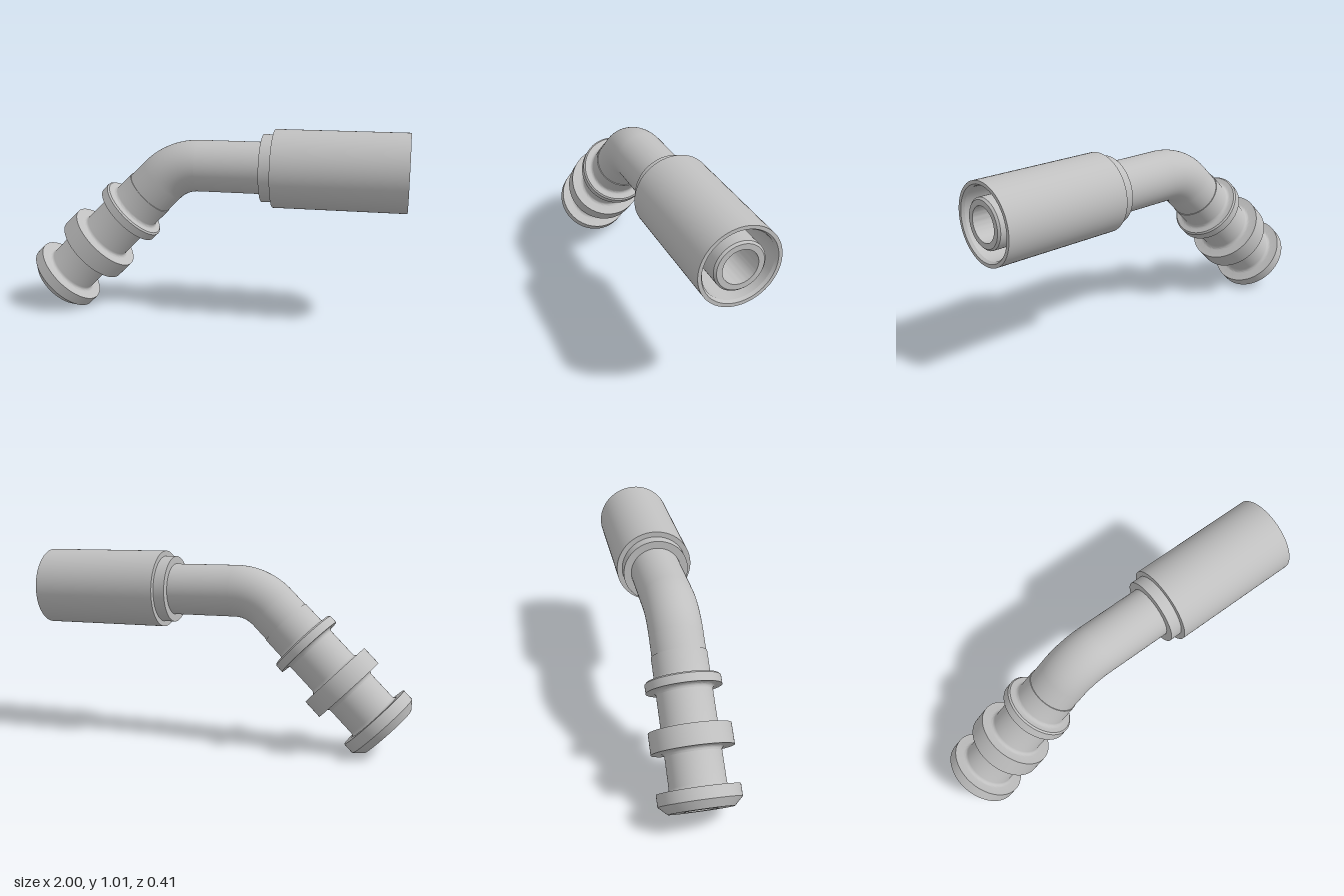
import * as THREE from 'three';
import { toCreasedNormals } from 'three/addons/utils/BufferGeometryUtils.js';

const SEG = 72;
const PIPE = 0.135, BORE = 0.087;        // outer and inner pipe radius
const AXIS_Y = 0.81, CORNER_X = -0.195;  // where the two pipe axes meet
const BEND_R = 0.278;
const TANGENT = BEND_R * Math.tan(Math.PI / 8);

export function createModel() {
  const group = new THREE.Group();
  const metal = new THREE.MeshStandardMaterial({ color: 0xc0c0c0, side: THREE.DoubleSide });
  metal.name = 'light grey metal';

  // Both legs run along local +y, starting at the axis corner
  const makeLeg = (name, angle) => {
    const leg = new THREE.Group();
    leg.name = name;
    leg.position.set(CORNER_X, AXIS_Y, 0);
    leg.rotation.z = angle;
    group.add(leg);
    return leg;
  };
  // Turned part from [radius, position] pairs, outer side listed with rising position
  const turn = (leg, name, pts) => {
    const geo = new THREE.LatheGeometry(pts.map(([r, y]) => new THREE.Vector2(r, y)), SEG);
    const mesh = new THREE.Mesh(toCreasedNormals(geo, 0.5), metal);
    mesh.name = name;
    leg.add(mesh);
  };
  // Concave quarter round between pipe radius r and a flange face at y (dir: away from the face)
  const fillet = (r, y, dir, f = 0.018) => {
    const pts = [];
    for (let i = 0; i <= 4; i++) {
      const a = (i / 4) * Math.PI / 2;
      pts.push([r + f * (1 - Math.sin(a)), y + dir * f * (1 - Math.cos(a))]);
    }
    return pts; // from the face to the pipe
  };

  // Hose end, along +x
  const hose = makeLeg('hoseEnd', -Math.PI / 2);
  const at = (x) => x - CORNER_X;
  turn(hose, 'straightPipe', [[PIPE, TANGENT], [PIPE, at(0.26)]]);
  turn(hose, 'collar', [[PIPE, at(0.26)], [0.175, at(0.26)], [0.175, at(0.32)]]);
  turn(hose, 'crimpSleeve', [
    [0.175, at(0.32)], [0.203, at(0.32)], [0.203, at(1)], [0.185, at(1)],
    [0.176, at(0.985)], [0.176, at(0.42)], [0.125, at(0.42)],
  ]);
  turn(hose, 'innerNipple', [
    [0.125, at(0.42)], [0.125, at(0.99)], [0.115, at(1)], [BORE, at(1)],
  ]);
  turn(hose, 'hoseBore', [[BORE, at(1)], [BORE, TANGENT]]);

  // 45 degree bend, outside and bore
  for (const [name, r] of [['bend', PIPE], ['bendBore', BORE]]) {
    const mesh = new THREE.Mesh(new THREE.TorusGeometry(BEND_R, r, SEG, 24, Math.PI / 4), metal);
    mesh.name = name;
    mesh.position.set(CORNER_X + TANGENT, AXIS_Y - BEND_R, 0);
    mesh.rotation.z = Math.PI / 2;
    group.add(mesh);
  }

  // Flanged end, running down towards -x; positions are distances below the corner
  const flanged = makeLeg('flangedEnd', -Math.PI / 4);
  const BODY = 0.139;
  turn(flanged, 'lowerPipe', [[BODY, -0.219], [PIPE, -0.219], [PIPE, -TANGENT]]);
  turn(flanged, 'stopRing', [
    ...fillet(BODY, -0.394, -1).reverse(), [0.188, -0.394], [0.188, -0.351], [0.18, -0.343],
    ...fillet(BODY, -0.343, 1), [BODY, -0.219],
  ]);
  turn(flanged, 'middleFlange', [
    ...fillet(BODY, -0.691, -1).reverse(), [0.203, -0.691], [0.203, -0.587],
    ...fillet(BODY, -0.587, 1), [BODY, -0.412],
  ]);
  turn(flanged, 'endFlange', [
    [BORE, -0.976], [0.16, -0.976], [0.203, -0.936], [0.203, -0.877],
    ...fillet(BODY, -0.877, 1), [BODY, -0.709],
  ]);
  turn(flanged, 'flangedBore', [[BORE, -TANGENT], [BORE, -0.976]]);

  return group;
}
